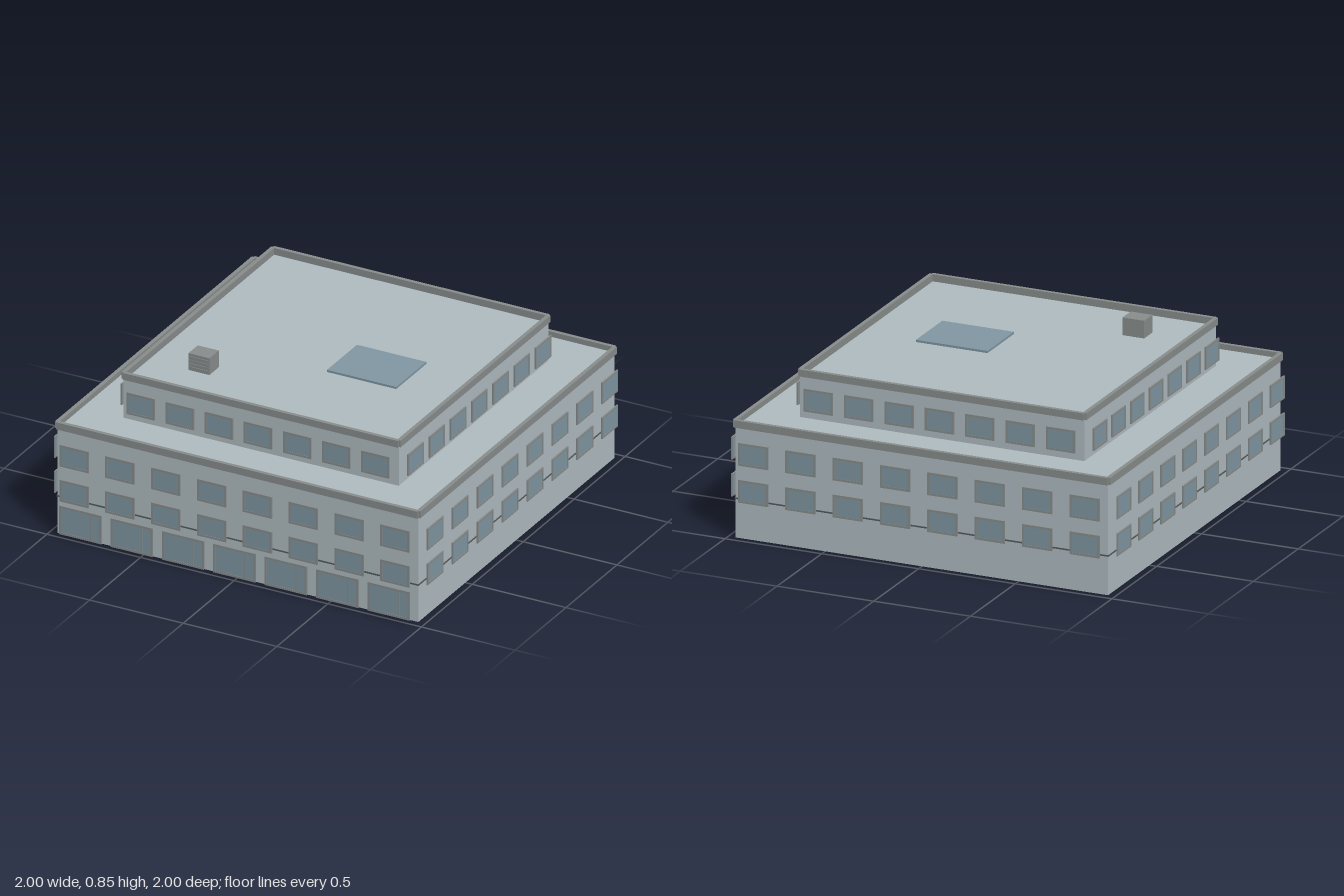
import * as THREE from 'three';

const mat = (color) => new THREE.MeshStandardMaterial({ color });
const wallMat = mat(0xb2bec3);
const trimMat = mat(0x8a8f8e);
const glassMat = mat(0x8299a4);
const darkMat = mat(0x555b5d);

// Box given by its size and centre
function box(parent, name, material, [w, h, d], [x, y, z]) {
  const mesh = new THREE.Mesh(new THREE.BoxGeometry(w, h, d), material);
  mesh.name = name;
  mesh.position.set(x, y, z);
  parent.add(mesh);
  return mesh;
}

// Window panel facing +z: hollow frame around a pane, optional mullion
function makeWindow(w, h, mullionX) {
  const g = new THREE.Group();
  g.name = 'window';
  const bar = 0.011, depth = 0.007;
  const outline = new THREE.Shape([
    new THREE.Vector2(-w / 2, -h / 2), new THREE.Vector2(w / 2, -h / 2),
    new THREE.Vector2(w / 2, h / 2), new THREE.Vector2(-w / 2, h / 2),
  ]);
  const a = w / 2 - bar, b = h / 2 - bar;
  outline.holes.push(new THREE.Path([
    new THREE.Vector2(-a, -b), new THREE.Vector2(-a, b),
    new THREE.Vector2(a, b), new THREE.Vector2(a, -b),
  ]));
  const geo = new THREE.ExtrudeGeometry(outline, { depth, bevelEnabled: false });
  geo.translate(0, 0, -depth / 2);
  const frame = new THREE.Mesh(geo, trimMat);
  frame.name = 'windowFrame';
  g.add(frame);
  box(g, 'windowGlass', glassMat, [2 * a, 2 * b, 0.004], [0, 0, 0]);
  if (mullionX !== undefined) {
    box(g, 'mullion', trimMat, [0.005, 2 * b, depth], [mullionX, 0, 0]);
  }
  return g;
}

// Row of evenly spaced windows on one side (0 front, 1 left, 2 back, 3 right)
function windowRow(parent, name, side, count, spacing, y, offset, proto) {
  const row = new THREE.Group();
  row.name = name;
  for (let i = 0; i < count; i++) {
    const win = proto.clone();
    win.position.set((i - (count - 1) / 2) * spacing, y, offset);
    row.add(win);
  }
  row.rotation.y = side * Math.PI / 2;
  parent.add(row);
}

// Four parapet walls with small notches at the corners
function parapet(parent, name, half, bottom, top) {
  const ring = new THREE.Group();
  ring.name = name;
  for (let side = 0; side < 4; side++) {
    const arm = new THREE.Group();
    arm.name = 'parapetSide';
    box(arm, 'parapetWall', trimMat, [2 * half - 0.02, top - bottom, 0.02],
      [0, (top + bottom) / 2, half - 0.01]);
    arm.rotation.y = side * Math.PI / 2;
    ring.add(arm);
  }
  parent.add(ring);
}

export function createModel() {
  const model = new THREE.Group();
  model.name = 'officeBuilding';

  // Storeys and the thin ledge between them
  box(model, 'groundFloor', wallMat, [1.926, 0.195, 1.926], [0, 0.0975, 0]);
  box(model, 'ledge', darkMat, [1.932, 0.007, 1.932], [0, 0.196, 0]);
  box(model, 'middleFloors', wallMat, [1.926, 0.361, 1.926], [0, 0.3795, 0]);
  box(model, 'topFloor', wallMat, [1.47, 0.205, 1.47], [0, 0.6625, 0]);
  parapet(model, 'mainParapet', 0.975, 0.55, 0.587);
  parapet(model, 'topParapet', 0.745, 0.765, 0.8);

  // Window rows stand slightly clear of the walls
  const middle = makeWindow(0.155, 0.113);
  const upper = makeWindow(0.15, 0.113);
  const shop = makeWindow(0.225, 0.15, 0.055);
  for (let side = 0; side < 4; side++) {
    windowRow(model, 'secondFloorWindows', side, 8, 0.2448, 0.246, 0.9955, middle);
    windowRow(model, 'thirdFloorWindows', side, 8, 0.2448, 0.43, 0.9955, middle);
    windowRow(model, 'topFloorWindows', side, 7, 0.2087, 0.66, 0.765, upper);
  }
  windowRow(model, 'groundFloorWindows', 0, 7, 0.2745, 0.091, 0.9955, shop);

  // Rooftop fittings
  box(model, 'skylight', glassMat, [0.37, 0.012, 0.295], [0.255, 0.77, 0.07]);
  box(model, 'ventUnit', trimMat, [0.112, 0.09, 0.092], [-0.455, 0.808, 0.463]);
  for (let i = 0; i < 4; i++) {
    box(model, 'ventLouvre', trimMat, [0.1, 0.006, 0.004], [-0.455, 0.782 + i * 0.018, 0.51]);
  }
  return model;
}
